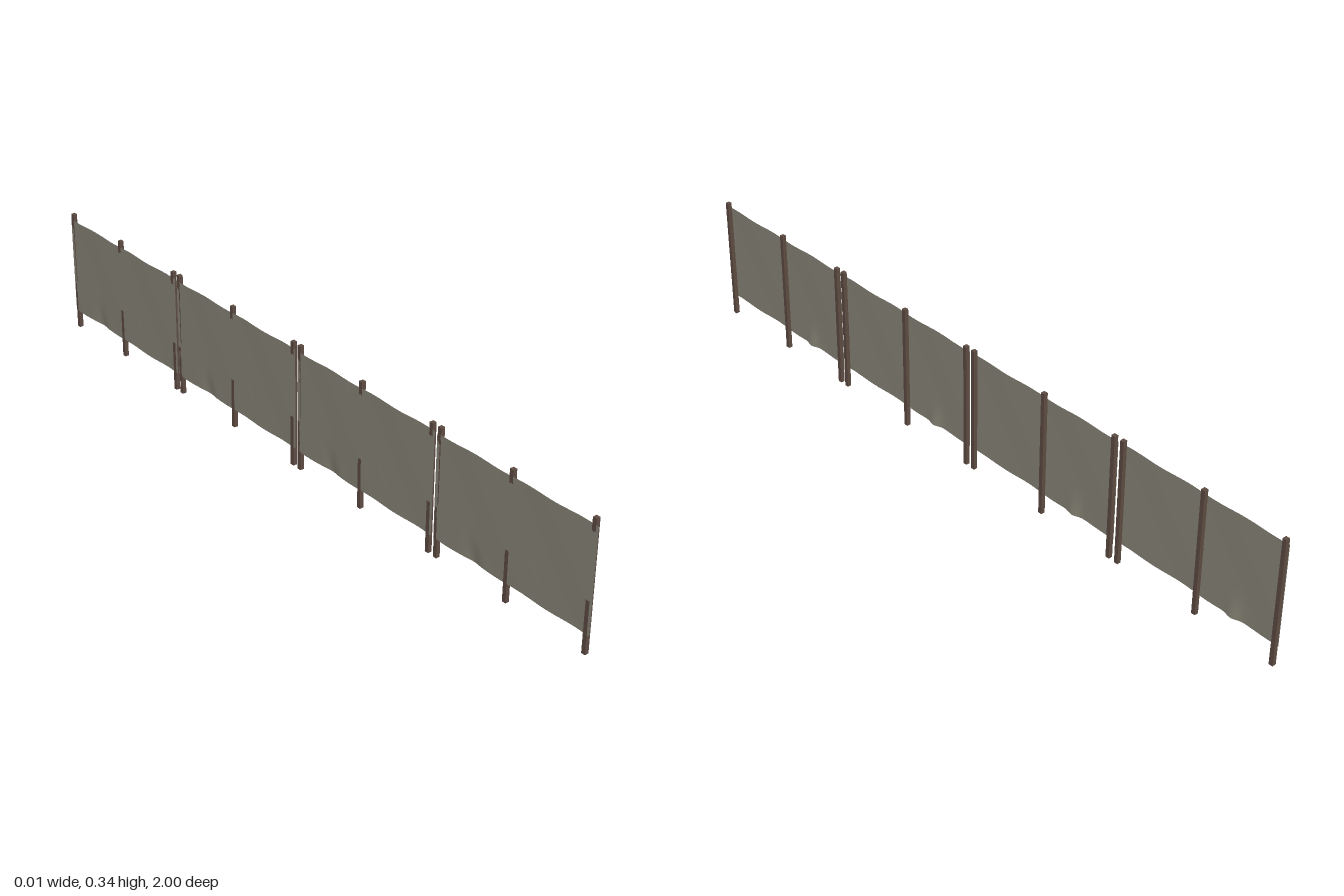
import * as THREE from 'three';

const POST = { size: 0.011, height: 0.343 };
const SHEET = { bottom: 0.052, top: 0.327, x: -0.005 };
const PITCH = 0.501; // spacing of the four fence sections along z

const bump = (v, centre, width) => Math.exp(-(((v - centre) / width) ** 2));

// Thin fabric sheet in the yz plane, slightly rippled, with a loose fold in the lower hem
function sheetGeometry(zStart, length) {
  const height = SHEET.top - SHEET.bottom;
  const geometry = new THREE.PlaneGeometry(length, height, 48, 10);
  geometry.rotateY(Math.PI / 2);
  geometry.translate(0, (SHEET.top + SHEET.bottom) / 2, zStart - length / 2);
  const p = geometry.attributes.position;
  for (let i = 0; i < p.count; i++) {
    const along = zStart - p.getZ(i);
    const up = (p.getY(i) - SHEET.bottom) / height;
    const ripple = 0.0007 * Math.sin(along * 26) * Math.cos(up * 5);
    const fold = 0.006 * bump(along, 0.36, 0.018) * bump(up, 0, 0.12);
    const hem = 0.0015 * Math.sin(along * 38) * (up > 0.5 ? up : 1 - up);
    p.setX(i, SHEET.x + ripple + fold);
    p.setY(i, p.getY(i) + hem - fold * 0.5);
  }
  geometry.computeVertexNormals();
  return geometry;
}

export function createModel() {
  const wood = new THREE.MeshStandardMaterial({ color: 0x5e4c43 });
  wood.name = 'dark brown wood';
  const fabric = new THREE.MeshStandardMaterial({ color: 0x8a8779, side: THREE.DoubleSide });
  fabric.name = 'grey olive fabric';

  const model = new THREE.Group();
  model.name = 'siltFence';
  const postGeometry = new THREE.BoxGeometry(POST.size, POST.height, POST.size);

  for (let k = 0; k < 4; k++) {
    const section = new THREE.Group();
    section.name = `fenceSection${k + 1}`;

    // Three stakes on the +x side of the sheet
    for (const z of [0.987, 0.743, 0.514]) {
      const post = new THREE.Mesh(postGeometry, wood);
      post.name = 'post';
      post.position.set(0.0005, POST.height / 2, z - k * PITCH);
      section.add(post);
    }

    const sheet = new THREE.Mesh(sheetGeometry(1 - k * PITCH, 0.493), fabric);
    sheet.name = 'fabricSheet';
    section.add(sheet);
    model.add(section);
  }
  return model;
}
